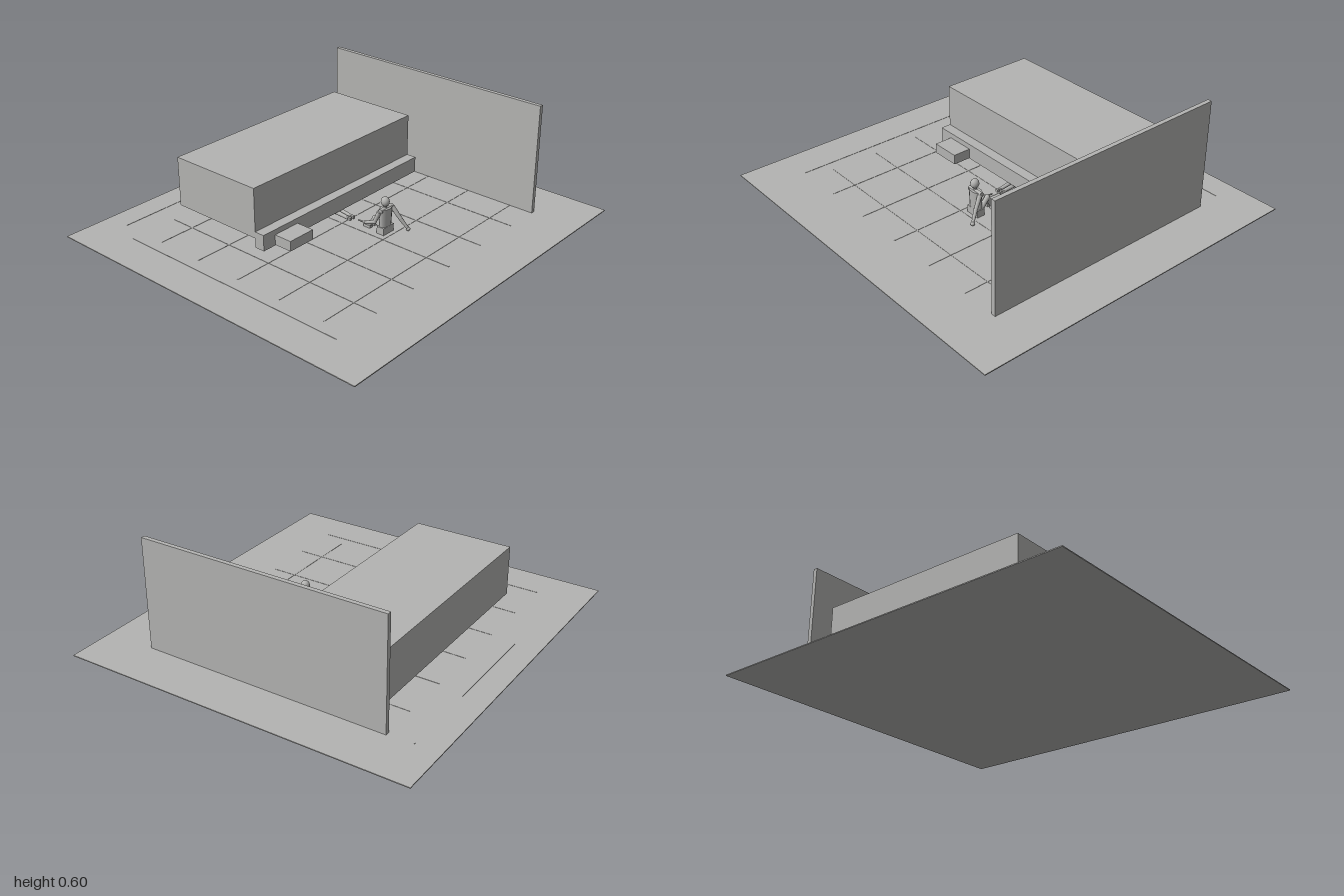
import * as THREE from 'three';

export function createModel() {
  const model = new THREE.Group();
  const grey = new THREE.MeshStandardMaterial({ color: 0xb4b4b2 });
  grey.name = 'plain grey';

  const add = (parent, name, geometry) => {
    const mesh = new THREE.Mesh(geometry, grey);
    mesh.name = name;
    parent.add(mesh);
    return mesh;
  };
  // Box given by its lowest and highest corners
  const box = (parent, name, a, b) => {
    const mesh = add(parent, name, new THREE.BoxGeometry(b[0] - a[0], b[1] - a[1], b[2] - a[2]));
    mesh.position.set((a[0] + b[0]) / 2, (a[1] + b[1]) / 2, (a[2] + b[2]) / 2);
    return mesh;
  };
  // Tapered round limb between two points
  const limb = (parent, name, a, b, ra, rb = ra) => {
    const from = new THREE.Vector3(...a), to = new THREE.Vector3(...b);
    const dir = to.clone().sub(from);
    const mesh = add(parent, name, new THREE.CylinderGeometry(rb, ra, dir.length(), 12));
    mesh.position.copy(from).add(to).multiplyScalar(0.5);
    mesh.quaternion.setFromUnitVectors(new THREE.Vector3(0, 1, 0), dir.normalize());
    return mesh;
  };
  const ball = (parent, name, p, r, sx = 1, sy = 1, sz = 1) => {
    const mesh = add(parent, name, new THREE.SphereGeometry(r, 16, 12));
    mesh.position.set(...p);
    mesh.scale.set(sx, sy, sz);
    return mesh;
  };
  // Limb of two segments with a rounded joint
  const jointed = (parent, name, a, b, c, r) => {
    limb(parent, name + 'Upper', a, b, r, r * 0.85);
    ball(parent, name + 'Joint', b, r * 0.9);
    limb(parent, name + 'Lower', b, c, r * 0.85, r * 0.65);
  };

  // Floor, back wall and floor grid
  box(model, 'floor', [-0.935, 0, -1], [0.935, 0.005, 1]);
  box(model, 'wall', [-0.667, 0.005, -0.745], [0.667, 0.598, -0.722]);
  const grid = new THREE.Group();
  grid.name = 'floorGrid';
  model.add(grid);
  for (let i = -3; i <= 2; i++) {
    const p = i * 0.267, w = i === 0 ? 0.003 : 0.0015;
    box(grid, 'lengthLine', [p - w, 0.005, -0.735], [p + w, 0.0065, 0.735]);
    box(grid, 'crossLine', [-0.667, 0.005, -p - w], [0.667, 0.0065, -p + w]);
  }

  // Raised block with side ledge and small step
  box(model, 'mainBlock', [-0.615, 0.105, -0.64], [-0.085, 0.37, 0.53]);
  box(model, 'sideLedge', [-0.085, 0.055, -0.64], [-0.03, 0.14, 0.53]);
  box(model, 'smallStep', [-0.03, 0.058, 0.295], [0.07, 0.112, 0.452]);

  // Seated figure leaning on one arm
  const seated = new THREE.Group();
  seated.name = 'seatedFigure';
  model.add(seated);
  ball(seated, 'head', [0.225, 0.177, -0.065], 0.023, 1, 1.1, 0.95);
  limb(seated, 'neck', [0.225, 0.135, -0.068], [0.225, 0.16, -0.066], 0.009);
  limb(seated, 'torso', [0.225, 0.04, -0.07], [0.225, 0.142, -0.07], 0.038, 0.044).scale.set(0.55, 1, 1);
  box(seated, 'pelvis', [0.202, 0.006, -0.11], [0.246, 0.045, -0.03]);
  limb(seated, 'shoulders', [0.225, 0.135, -0.118], [0.225, 0.135, -0.026], 0.013);
  jointed(seated, 'supportArm', [0.232, 0.135, -0.112], [0.272, 0.075, -0.128], [0.305, 0.025, -0.146], 0.012);
  ball(seated, 'supportHand', [0.308, 0.02, -0.148], 0.011);
  jointed(seated, 'reachingArm', [0.22, 0.132, -0.025], [0.2, 0.075, -0.015], [0.135, 0.045, -0.025], 0.012);
  ball(seated, 'reachingHand', [0.128, 0.043, -0.026], 0.01);
  limb(seated, 'tool', [0.128, 0.043, -0.026], [0.085, 0.04, -0.028], 0.004);
  for (const [z, knee] of [[-0.09, 0.085], [-0.055, 0.07]]) {
    jointed(seated, 'leg', [0.215, 0.03, z], [0.168, knee, z], [0.135, 0.02, z], 0.015);
    box(seated, 'foot', [0.105, 0.006, z - 0.01], [0.145, 0.02, z + 0.01]);
  }

  // Figure lying on its back, head first along -x
  const lying = () => {
    const g = new THREE.Group();
    ball(g, 'head', [-0.3, 0.058, 0], 0.025, 1.1, 1, 0.9);
    limb(g, 'torso', [-0.27, 0.045, 0], [-0.14, 0.04, 0], 0.042, 0.036).scale.set(0.65, 1, 1);
    for (const s of [-1, 1]) {
      jointed(g, 'leg', [-0.14, 0.04, s * 0.016], [-0.05, 0.044, s * 0.014], [0.03, 0.036, s * 0.012], 0.014);
      box(g, 'foot', [0.02, 0.028, s * 0.012 - 0.007], [0.046, 0.044, s * 0.012 + 0.007]);
      jointed(g, 'arm', [-0.255, 0.045, s * 0.046], [-0.2, 0.03, s * 0.054], [-0.14, 0.03, s * 0.046], 0.011);
    }
    model.add(g);
    return g;
  };
  const first = lying();
  first.name = 'lyingFigure';
  first.position.z = -0.028;

  // Low board with two round pads under the block
  box(model, 'lowBoard', [-0.285, 0.008, 0.1], [-0.155, 0.028, 0.33]);
  box(model, 'upperBoard', [-0.275, 0.028, 0.25], [-0.165, 0.05, 0.375]);
  for (const x of [-0.244, -0.196]) limb(model, 'roundPad', [x, 0.039, 0.37], [x, 0.039, 0.385], 0.014);

  return model;
}
